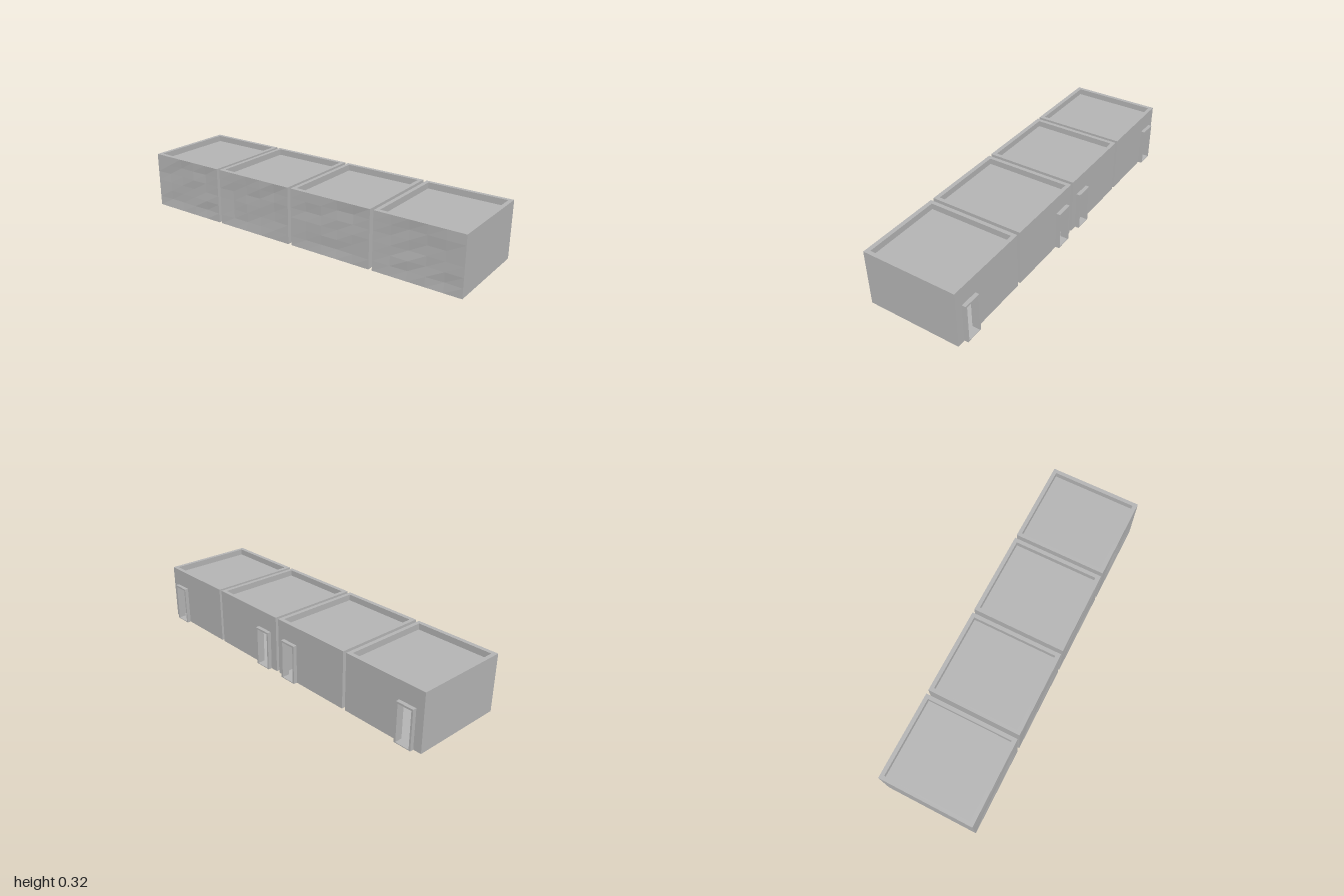
import * as THREE from 'three';

const W = 0.485, GAP = 0.02, H = 0.32, WALL = 0.022;
const BACK = -0.253, FRONT = 0.274;
const DOOR_W = 0.1, DOOR_H = 0.22, FRAME = 0.01, DOOR_INSET = 0.045;

const concrete = new THREE.MeshStandardMaterial({ color: 0xb4b4b4 });
concrete.name = 'concrete grey';

function add(group, name, geometry, x = 0, y = 0, z = 0) {
  const mesh = new THREE.Mesh(geometry, concrete);
  mesh.name = name;
  mesh.position.set(x, y, z);
  group.add(mesh);
  return mesh;
}

// Box given by its minimum and maximum corners
function block(group, name, x0, y0, z0, x1, y1, z1) {
  return add(group, name, new THREE.BoxGeometry(x1 - x0, y1 - y0, z1 - z0),
    (x0 + x1) / 2, (y0 + y1) / 2, (z0 + z1) / 2);
}

function seeded(seed) {
  let s = seed;
  return () => (s = (s * 16807) % 2147483647) / 2147483647;
}

// Wall with a shallow faceted relief on its outer face; edges stay straight
function reliefWall(seed) {
  const random = seeded(seed);
  const depth = FRONT - 0.25;
  const box = new THREE.BoxGeometry(W, H, depth, 5, 6, 1);
  const p = box.attributes.position, n = box.attributes.normal;
  for (let i = 0; i < p.count; i++) {
    const inner = Math.abs(p.getX(i)) < W / 2 - 0.01 && Math.abs(p.getY(i)) < H / 2 - 0.01;
    if (n.getZ(i) > 0.5 && inner) p.setZ(i, depth / 2 - 0.007 * random());
  }
  const geometry = box.toNonIndexed();
  geometry.computeVertexNormals();
  return geometry;
}

// Back wall outline with a doorway notched up from the floor
function doorWall(door) {
  const x0 = door - DOOR_W / 2 + FRAME, x1 = door + DOOR_W / 2 - FRAME;
  const top = DOOR_H - FRAME;
  const outline = [[-W / 2, 0], [x0, 0], [x0, top], [x1, top], [x1, 0], [W / 2, 0], [W / 2, H], [-W / 2, H]];
  const shape = new THREE.Shape(outline.map(([x, y]) => new THREE.Vector2(x, y)));
  return new THREE.ExtrudeGeometry(shape, { depth: WALL, bevelEnabled: false });
}

function createRoom(index) {
  const room = new THREE.Group();
  room.name = 'room' + (index + 1);
  const side = index % 2 === 0 ? -1 : 1;
  const door = side * (W / 2 - DOOR_INSET - DOOR_W / 2);
  const half = W / 2, inner = half - WALL, zBack = BACK + WALL, zFront = 0.25;

  // Shell
  add(room, 'frontWall', reliefWall(4127 + index * 7919), 0, H / 2, (zFront + FRONT) / 2);
  add(room, 'backWall', doorWall(door), 0, 0, BACK);
  block(room, 'leftWall', inner, 0, zBack, half, H, zFront);
  block(room, 'rightWall', -half, 0, zBack, -inner, H, zFront);
  block(room, 'floor', -inner, 0, zBack, inner, 0.004, zFront);
  block(room, 'roof', -inner, 0.265, zBack, inner, 0.286, zFront);

  // Projecting door frame
  const x0 = door - DOOR_W / 2, x1 = door + DOOR_W / 2, z = -0.274;
  const frame = new THREE.Group();
  frame.name = 'doorFrame';
  block(frame, 'rightJamb', x0, 0, z, x0 + FRAME, DOOR_H - FRAME, BACK);
  block(frame, 'leftJamb', x1 - FRAME, 0, z, x1, DOOR_H - FRAME, BACK);
  block(frame, 'lintel', x0, DOOR_H - FRAME, z, x1, DOOR_H, BACK);
  block(frame, 'threshold', x0 + FRAME, 0, z, x1 - FRAME, 0.004, zBack);
  room.add(frame);
  return room;
}

export function createModel() {
  const model = new THREE.Group();
  model.name = 'roomRow';
  for (let i = 0; i < 4; i++) {
    const room = createRoom(i);
    room.position.x = (i - 1.5) * (W + GAP);
    model.add(room);
  }
  return model;
}
